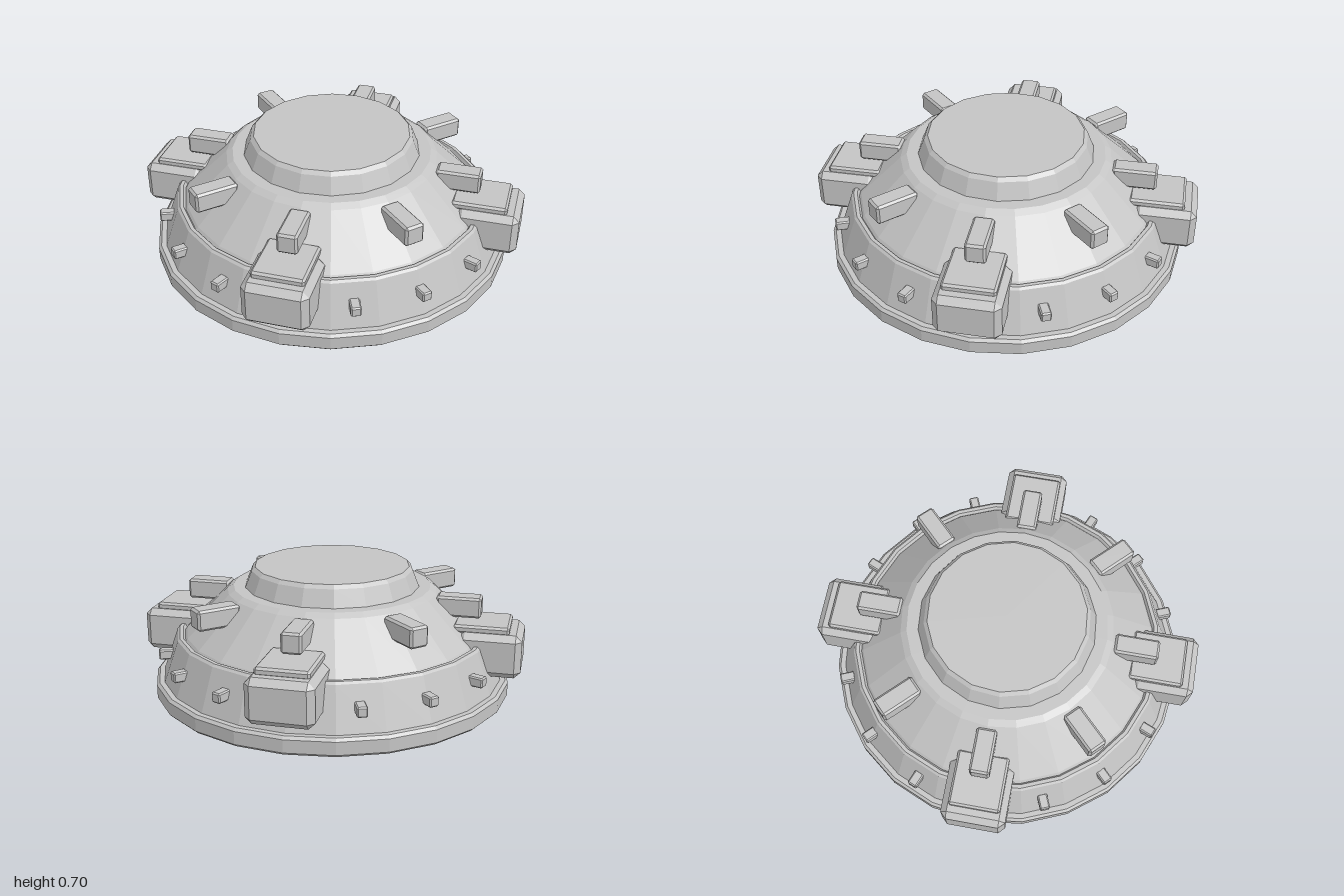
import * as THREE from 'three';
import { ConvexGeometry } from 'three/addons/geometries/ConvexGeometry.js';

const hullGrey = new THREE.MeshStandardMaterial({ color: 0xc4c4c4, flatShading: true });
hullGrey.name = 'hullGrey';

// Box with single flat chamfers on every edge
function chamferBox(w, h, d, c) {
  const points = [];
  for (const sx of [-1, 1]) for (const sy of [-1, 1]) for (const sz of [-1, 1]) {
    const x = w / 2, y = h / 2, z = d / 2;
    points.push(
      new THREE.Vector3(sx * x, sy * (y - c), sz * (z - c)),
      new THREE.Vector3(sx * (x - c), sy * y, sz * (z - c)),
      new THREE.Vector3(sx * (x - c), sy * (y - c), sz * z));
  }
  return new ConvexGeometry(points);
}

export function createModel() {
  const model = new THREE.Group();
  model.name = 'domedHull';

  function add(geometry, name, parent = model) {
    const mesh = new THREE.Mesh(geometry, hullGrey);
    mesh.name = name;
    parent.add(mesh);
    return mesh;
  }

  // Turned part; profile runs from bottom to top, first corner on the x axis
  function turned(name, sides, profile) {
    const points = profile.map(([r, y]) => new THREE.Vector2(r, y));
    add(new THREE.LatheGeometry(points, sides, Math.PI / 2), name);
  }

  // Chamfered block placed along a spoke between two radii and two heights
  function spokeBlock(name, angle, r0, r1, y0, y1, width, chamfer) {
    const spoke = new THREE.Group();
    spoke.name = name + 'Spoke';
    spoke.rotation.y = angle;
    model.add(spoke);
    const block = add(chamferBox(width, y1 - y0, r1 - r0, chamfer), name, spoke);
    block.position.set(0, (y0 + y1) / 2, (r0 + r1) / 2);
  }

  // Stacked hull rings
  turned('baseFlange', 24, [[0, 0], [0.985, 0], [1, 0.015], [1, 0.085], [0.985, 0.1], [0, 0.1]]);
  turned('lowerSkirt', 24, [[0.96, 0.09], [0.875, 0.33], [0.862, 0.342], [0.842, 0.342], [0.83, 0.32]]);
  turned('upperCone', 24, [[0.84, 0.31], [0.82, 0.34], [0.585, 0.57], [0.55, 0.592], [0, 0.597]]);
  turned('topCap', 18, [[0.488, 0.59], [0.45, 0.685], [0.43, 0.705], [0, 0.705]]);

  // Eight struts on the cone
  for (let i = 0; i < 8; i++) {
    spokeBlock('coneStrut', i * Math.PI / 4, 0.595, 0.838, 0.46, 0.572, 0.11, 0.012);
  }

  // Four corner pods, each with a raised top plate
  for (let i = 0; i < 4; i++) {
    const angle = Math.PI / 4 + i * Math.PI / 2;
    spokeBlock('cornerPod', angle, 0.73, 1.07, 0.17, 0.41, 0.35, 0.034);
    spokeBlock('podTopPlate', angle, 0.7, 1.0, 0.4, 0.445, 0.28, 0.012);
  }

  // Small studs round the skirt, skipping the pods
  for (let i = 0; i < 16; i++) {
    if (i % 4 === 2) continue;
    spokeBlock('skirtStud', i * Math.PI / 8, 0.89, 0.975, 0.195, 0.25, 0.055, 0.007);
  }

  return model;
}
